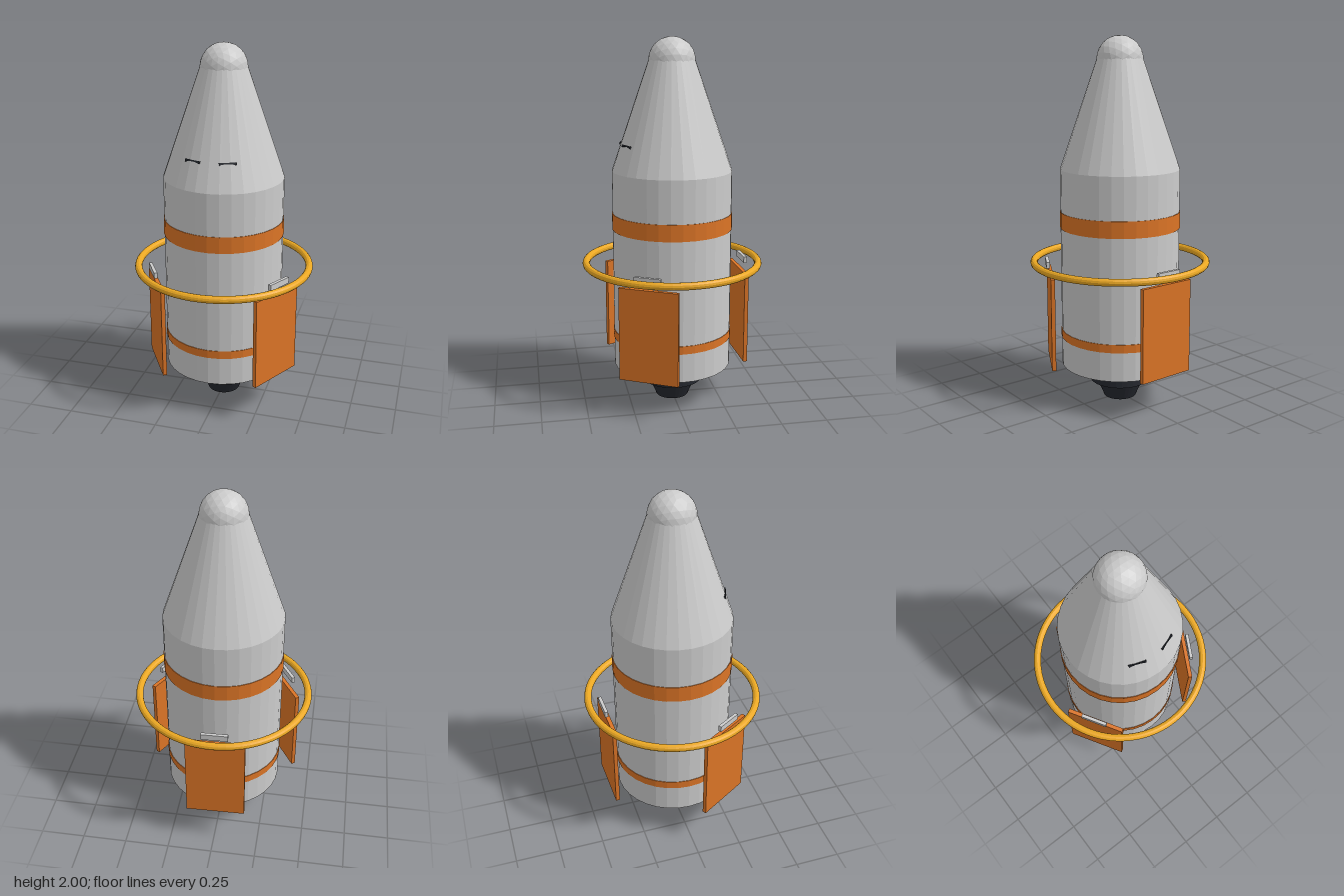
import * as THREE from 'three';

const SIDES = 32;
const paint = (color) => new THREE.MeshStandardMaterial({ color, flatShading: true });

export function createModel() {
  const grey = paint(0xcccccc), orange = paint(0xdb7426), gold = paint(0xeba823), dark = paint(0x25282f);
  const model = new THREE.Group();

  const add = (parent, name, geometry, material, x = 0, y = 0, z = 0) => {
    const mesh = new THREE.Mesh(geometry, material);
    mesh.name = name;
    mesh.position.set(x, y, z);
    parent.add(mesh);
    return mesh;
  };
  // Upright round section between two heights
  const section = (name, rTop, rBottom, y0, y1, material) =>
    add(model, name, new THREE.CylinderGeometry(rTop, rBottom, y1 - y0, SIDES), material, 0, (y0 + y1) / 2);

  // Hull
  section('body', 0.325, 0.325, 0.2, 1.295, grey);
  section('noseCone', 0.123, 0.325, 1.295, 1.88, grey);
  add(model, 'noseTip', new THREE.IcosahedronGeometry(0.125, 3), grey, 0, 1.875);
  section('upperBand', 0.328, 0.328, 0.975, 1.065, orange);
  section('lowerBand', 0.328, 0.328, 0.36, 0.405, orange);

  // Engine
  section('engineCollar', 0.165, 0.165, 0.097, 0.2, dark);
  section('engineNozzle', 0.132, 0.09, 0, 0.1, dark);
  for (const side of [-1, 1]) {
    add(model, 'engineLug', new THREE.CylinderGeometry(0.02, 0.006, 0.035, 8), dark, side * 0.16, 0.168);
  }

  // Floating ring
  const ring = add(model, 'ring', new THREE.TorusGeometry(0.473, 0.02, 12, 72), gold, 0, 0.785);
  ring.rotation.x = Math.PI / 2;

  // Three panels with a small plate above each
  for (let i = 0; i < 3; i++) {
    const unit = new THREE.Group();
    unit.name = 'panelUnit';
    unit.rotation.y = THREE.MathUtils.degToRad(61.4 + i * 120);
    add(unit, 'panel', new THREE.BoxGeometry(0.327, 0.51, 0.022), orange, 0, 0.475, 0.384);
    add(unit, 'plate', new THREE.BoxGeometry(0.145, 0.034, 0.018), grey, 0, 0.785, 0.401);
    model.add(unit);
  }

  // Thin dark eye slits, thicker at their ends, lying on the cone
  const slit = new THREE.Shape();
  slit.moveTo(-0.046, 0.007);
  slit.lineTo(0.046, 0.007);
  slit.lineTo(0.044, -0.007);
  slit.quadraticCurveTo(0, 0.006, -0.044, -0.007);
  slit.closePath();
  const slitGeometry = new THREE.ExtrudeGeometry(slit, { depth: 0.012, bevelEnabled: false, curveSegments: 8 });
  for (const side of [-1, 1]) {
    const turn = new THREE.Group();
    turn.name = 'eye';
    turn.rotation.y = side * 0.343;
    add(turn, 'eyeSlit', slitGeometry, dark, 0, 1.436, 0.267).rotation.x = -0.33;
    model.add(turn);
  }
  return model;
}
